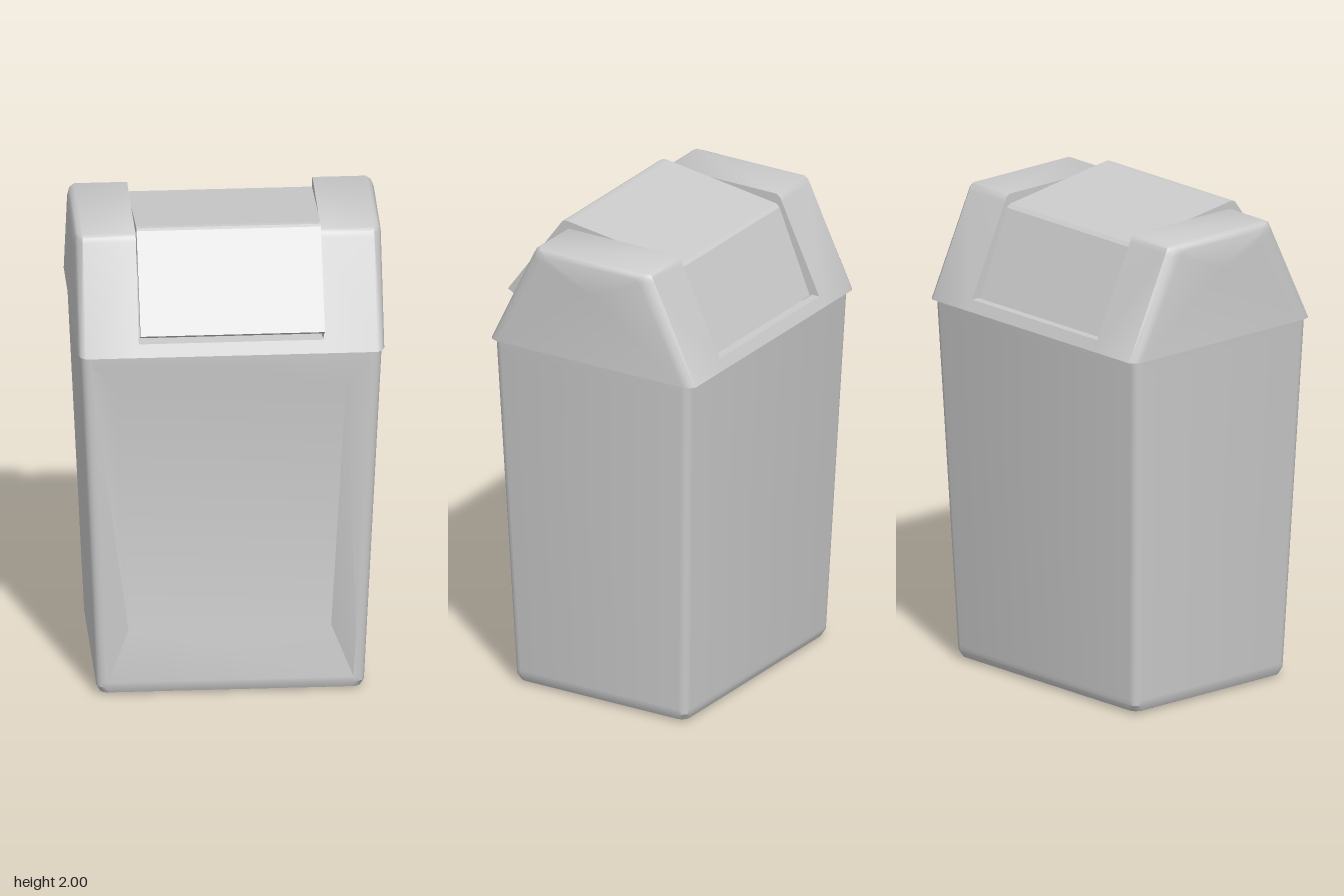
import * as THREE from 'three';
import { toCreasedNormals } from 'three/addons/utils/BufferGeometryUtils.js';

const material = new THREE.MeshStandardMaterial({ color: 0xcccccc });

// Skin a list of equal-length rings of [x, y, z] and close both ends.
function loft(rings, crease = 0.5) {
  const n = rings[0].length;
  const points = rings.flat();
  const index = [];
  for (let r = 0; r < rings.length - 1; r++) {
    for (let i = 0; i < n; i++) {
      const a = r * n + i, b = r * n + (i + 1) % n;
      index.push(a, b, a + n, b, b + n, a + n);
    }
  }
  [0, rings.length - 1].forEach((r) => {
    const c = points.length;
    points.push([0, 1, 2].map((k) => rings[r].reduce((s, p) => s + p[k], 0) / n));
    for (let i = 0; i < n; i++) {
      const a = r * n + i, b = r * n + (i + 1) % n;
      if (r === 0) index.push(c, b, a);
      else index.push(c, a, b);
    }
  });
  // Turn the faces outwards if the rings ran the other way round
  let volume = 0;
  const [u, v, w] = [0, 1, 2].map(() => new THREE.Vector3());
  for (let i = 0; i < index.length; i += 3) {
    u.fromArray(points[index[i]]);
    v.fromArray(points[index[i + 1]]);
    w.fromArray(points[index[i + 2]]);
    volume += u.dot(v.cross(w));
  }
  if (volume < 0) index.reverse();
  const geometry = new THREE.BufferGeometry();
  geometry.setAttribute('position', new THREE.Float32BufferAttribute(points.flat(), 3));
  geometry.setIndex(index);
  return toCreasedNormals(geometry.toNonIndexed(), crease);
}

// Extrude a [z, y] outline across the width, centred on x = 0.
function acrossWidth(outline, halfWidth) {
  const shape = new THREE.Shape(outline.map(([z, y]) => new THREE.Vector2(-z, y)));
  const geometry = new THREE.ExtrudeGeometry(shape, { depth: halfWidth * 2, bevelEnabled: false });
  geometry.translate(0, 0, -halfWidth).rotateY(Math.PI / 2);
  return geometry;
}

// Level slice of the tapered body; the front edge dips inwards for the recess.
function bodyRing(y, inset = 0, innerX = null, depth = 0) {
  const hx = 0.54 + 0.046 * y - inset;
  const front = 0.385 + 0.037 * y - inset;
  const back = -0.435 - 0.037 * y + inset;
  const r = 0.035, edge = hx - 0.045;
  const inner = innerX ?? edge - 0.003;
  const ring = [[-edge, y, front], [-inner, y, front - depth], [inner, y, front - depth], [edge, y, front]];
  const corners = [[hx - r, front - r], [hx - r, back + r], [r - hx, back + r], [r - hx, front - r]];
  corners.forEach(([cx, cz], k) => {
    for (let s = 0; s <= 4; s++) {
      const a = (k + s / 4) * Math.PI / 2;
      ring.push([cx + r * Math.sin(a), y, cz + r * Math.cos(a)]);
    }
  });
  return ring;
}

// Side outline of the lid at a given x, shrunk for the rounded ends.
function lidRing(x, inset) {
  const f = 0.46 - inset, b = -0.515 + inset, t = 1.97 - 0.6 * inset;
  return [
    [f, 1.52], [f - 0.205, t - 0.03], [f - 0.215, t - 0.01], [f - 0.23, t],
    [b + 0.225, t], [b + 0.21, t - 0.01], [b + 0.2, t - 0.03], [b, 1.52],
  ].map(([z, y]) => [x, y, z]);
}

export function createModel() {
  const group = new THREE.Group();
  const add = (name, geometry) => {
    const mesh = new THREE.Mesh(geometry, material);
    mesh.name = name;
    group.add(mesh);
  };

  // Tapered body with rounded foot and a recessed front panel
  add('body', loft([
    bodyRing(0, 0.04), bodyRing(0.012, 0.012), bodyRing(0.04),
    bodyRing(0.06), bodyRing(0.27, 0, 0.41, 0.06),
    bodyRing(1.37, 0, 0.465, 0.012), bodyRing(1.47), bodyRing(1.53),
  ]));

  // Solid lid ends either side of the opening
  for (const side of [1, -1]) {
    add(side > 0 ? 'lidEndLeft' : 'lidEndRight', loft(
      [[0.375, 0], [0.59, 0], [0.61, 0.015], [0.62, 0.045]].map(([x, d]) => lidRing(side * x, d)), 0.7));
  }

  // Sills closing the lid below the opening
  add('frontSill', acrossWidth([[0.46, 1.52], [0.436, 1.57], [0.405, 1.57], [0.405, 1.52]], 0.375));
  add('backSill', acrossWidth([[-0.515, 1.52], [-0.46, 1.52], [-0.46, 1.565], [-0.494, 1.565]], 0.375));

  // Swing flap, tipped open towards the front
  add('swingFlap', acrossWidth([
    [0.52, 1.64], [0.262, 1.993], [0.25, 2], [0.23, 2], [-0.29, 1.928], [-0.305, 1.915], [-0.45, 1.56],
    [-0.42, 1.552], [-0.28, 1.898], [0.225, 1.968], [0.24, 1.965], [0.492, 1.622],
  ], 0.373));

  return group;
}
